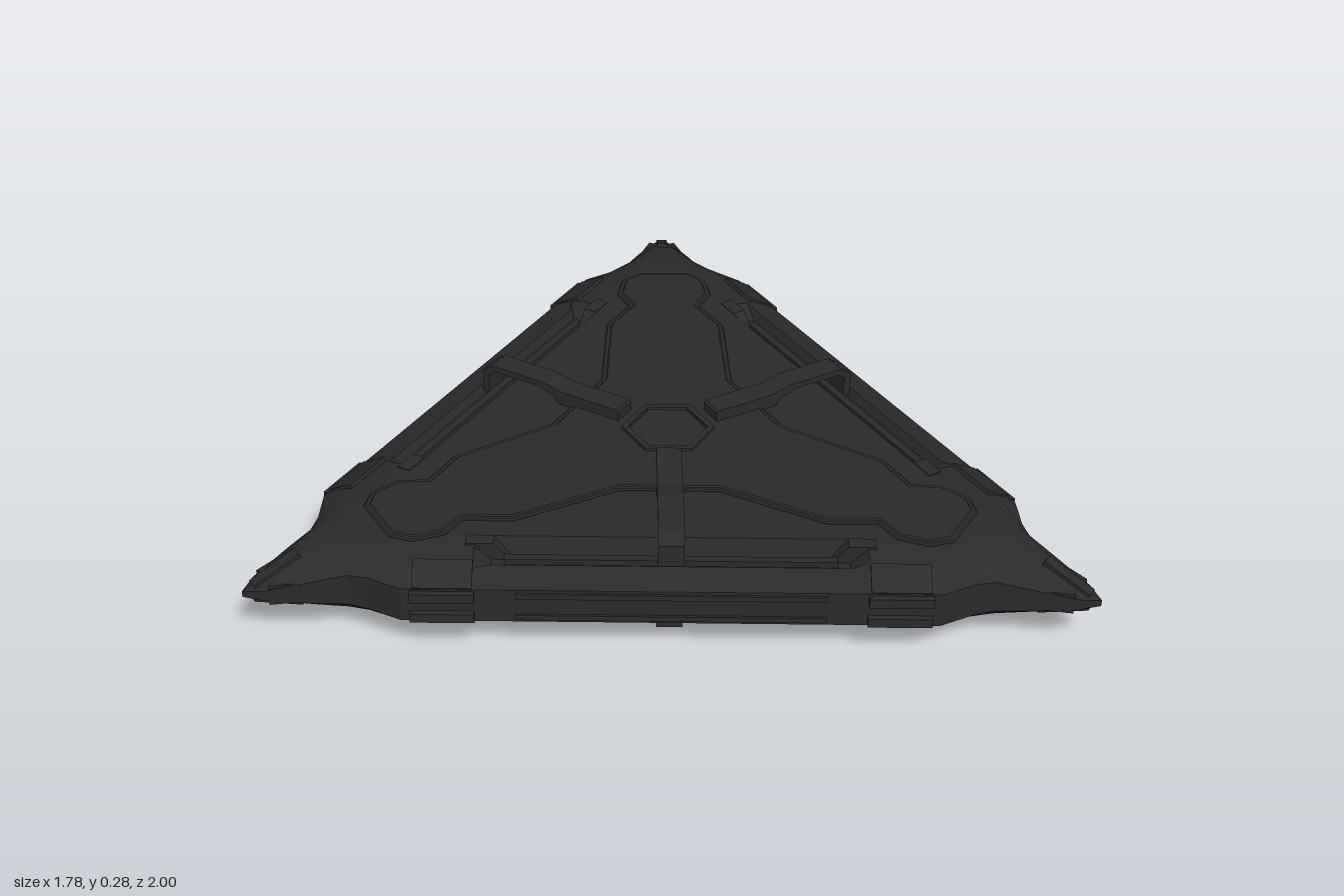
import * as THREE from 'three';

const MID = 0.139;            // height of the horizontal mirror plane
const CX = 0.262;             // x of the three-fold axis
const APO = 0.61;             // axis to each straight edge
const C = 0.5, S = Math.sqrt(3) / 2;
const mat = new THREE.MeshStandardMaterial({ color: 0x2b2b2b, flatShading: true });

// edge coords (u outward, v along the edge) <-> tip coords (r outward, w sideways)
const toTip = (u, v) => [u * C + v * S, u * S - v * C];
const fromTip = (r, w, y) => [r * C + w * S, r * S - w * C, y];

// mirror a half sector [u, v, y] (edge middle to tip) and repeat it three times
function ring(half) {
  const pts = half.map(([u, v, y = 0]) => [...toTip(u, v), y]);
  const mirrored = pts.slice(1).filter(p => p[1] > 1e-4).reverse().map(([r, w, y]) => [r, -w, y]);
  const all = [...pts, ...mirrored], out = [];
  for (let k = 0; k < 3; k++) {
    const a = Math.PI - k * Math.PI * 2 / 3, c = Math.cos(a), s = Math.sin(a);
    for (const [r, w, y] of all) out.push([r * c - w * s, y, r * s + w * c]);
  }
  return out;
}

function add(parent, geo, name, x = 0, y = 0, z = 0) {
  const m = new THREE.Mesh(geo, mat);
  m.name = name;
  m.position.set(x, y, z);
  parent.add(m);
  return m;
}
const box = (parent, name, size, pos) => add(parent, new THREE.BoxGeometry(...size), name, ...pos);

// hull cross-sections, each running from the outer edge up to the deck
function hullGeometry() {
  const recess = v => [[APO, v, 0.045], [0.54, v, 0.066], [0.528, v, 0.045], [0.472, v, 0.045], [0.455, v, 0.088]];
  const solid = v => [[APO, v, 0.045], [0.56, v, 0.072], [0.53, v, 0.079], [0.5, v, 0.084], [0.465, v, 0.088]];
  const stations = [
    recess(0), recess(0.42), solid(0.46),
    [[APO, 0.625, 0.045], [0.565, 0.615, 0.068], [0.54, 0.605, 0.077], [0.51, 0.59, 0.083], [0.475, 0.57, 0.088]],
    [fromTip(0.895, 0.14, 0.045), fromTip(0.885, 0.125, 0.062), fromTip(0.87, 0.11, 0.075),
      fromTip(0.85, 0.1, 0.083), fromTip(0.82, 0.09, 0.088)],
    [fromTip(0.93, 0.105, 0.042), fromTip(0.925, 0.09, 0.06), fromTip(0.91, 0.075, 0.074),
      fromTip(0.87, 0.07, 0.083), fromTip(0.825, 0.07, 0.088)],
    [fromTip(1.0, 0.078, 0.032), fromTip(0.99, 0.06, 0.05), fromTip(0.96, 0.05, 0.068),
      fromTip(0.89, 0.05, 0.083), fromTip(0.83, 0.05, 0.088)],
    [fromTip(1.11, 0.033, 0.014), fromTip(1.07, 0.025, 0.034), fromTip(1.02, 0.025, 0.058),
      fromTip(0.9, 0.03, 0.083), fromTip(0.835, 0.03, 0.088)],
    [fromTip(1.152, 0, 0.008), fromTip(1.09, 0, 0.034), fromTip(1.03, 0, 0.06),
      fromTip(0.9, 0, 0.084), fromTip(0.84, 0, 0.088)],
  ];
  const upper = [0, 1, 2, 3, 4].map(i => ring(stations.map(s => s[i])));
  const lower = upper.map(r => r.map(([x, y, z]) => [x, -y, z])).reverse();
  const rings = [...lower, ...upper], n = rings[0].length, pos = [];
  const tri = (...p) => p.forEach(q => pos.push(...q));
  for (let j = 0; j < n; j++) {
    const k = (j + 1) % n;
    for (let i = 0; i < rings.length - 1; i++) {
      const a = rings[i], b = rings[i + 1];
      tri(a[j], a[k], b[k]);
      tri(a[j], b[k], b[j]);
    }
    tri(upper[4][j], upper[4][k], [0, 0.088, 0]);
    tri(lower[0][k], lower[0][j], [0, -0.088, 0]);
  }
  const g = new THREE.BufferGeometry();
  g.setAttribute('position', new THREE.Float32BufferAttribute(pos, 3));
  g.computeVertexNormals();
  return g;
}

// three-armed deck panel, drawn inward by `inset`
function panelGeometry(inset, depth) {
  const outline = ring([[0.265, 0], [0.265, 0.12], [0.395, 0.37], [0.395, 0.49],
    [0.455, 0.53], fromTip(0.765, 0.115), fromTip(0.805, 0.07)]);
  const shape = new THREE.Shape(outline.map(([x, , z]) => new THREE.Vector2(x, -z)));
  return new THREE.ExtrudeGeometry(shape, {
    depth, bevelEnabled: true, bevelThickness: 0.003, bevelSize: 0.004, bevelOffset: -inset, bevelSegments: 1,
  }).rotateX(-Math.PI / 2);
}

// raised strap: a bent bar that arches over the deck and clamps the edge rail
function strapGeometry() {
  const profile = [[0.125, 0.085], [0.125, 0.12], [0.13, 0.125], [0.29, 0.125], [0.35, 0.138], [0.5, 0.138],
    [0.532, 0.118], [0.532, 0.055], [0.512, 0.055], [0.512, 0.108], [0.49, 0.122], [0.365, 0.122],
    [0.32, 0.108], [0.3, 0.085]];
  const shape = new THREE.Shape(profile.map(p => new THREE.Vector2(...p)));
  return new THREE.ExtrudeGeometry(shape, { depth: 0.062, bevelEnabled: false }).translate(0, 0, -0.031);
}

// sloped block closing the end of an edge recess
function recessEndGeometry(side) {
  const shape = new THREE.Shape([[0.37, 0.04], [0.48, 0.04], [0.48, 0.09], [0.415, 0.09]]
    .map(([v, y]) => new THREE.Vector2(v * side, y)));
  return new THREE.ExtrudeGeometry(shape, { depth: 0.035, bevelEnabled: false })
    .rotateY(Math.PI / 2).scale(1, 1, -1 * -1).translate(0.455, 0, 0);
}

// deck fittings for one face
function buildFace() {
  const face = new THREE.Group();
  add(face, panelGeometry(0.004, 0.004), 'deckPanel', 0, 0.0855, 0);
  add(face, panelGeometry(0.016, 0.004), 'deckPanelInlay', 0, 0.0885, 0);

  // central hexagon: rim with a sunken plate
  const hex = r => Array.from({ length: 6 }, (_, i) =>
    new THREE.Vector2(r * Math.cos((i + 0.5) * Math.PI / 3), r * Math.sin((i + 0.5) * Math.PI / 3)));
  const rim = new THREE.Shape(hex(0.116));
  rim.holes.push(new THREE.Path(hex(0.1).reverse()));
  add(face, new THREE.ExtrudeGeometry(rim, { depth: 0.018, bevelEnabled: false }).rotateX(-Math.PI / 2),
    'hubRim', 0, 0.086, 0);
  add(face, new THREE.CylinderGeometry(0.096, 0.1, 0.012, 6), 'hubPlate', 0, 0.093, 0);

  for (let k = 0; k < 3; k++) {
    const arm = new THREE.Group();
    arm.name = 'edgeFittings';
    arm.rotation.y = k * Math.PI * 2 / 3;
    face.add(arm);
    add(arm, strapGeometry(), 'strap');
    box(arm, 'recessRail', [0.02, 0.02, 0.78], [0.5, 0.05, 0]);
    for (const s of [-1, 1]) {
      add(arm, recessEndGeometry(s), 'recessEndBlock');
      box(arm, 'edgeRib', [0.045, 0.024, 0.15], [0.603, 0.028, s * 0.53]);
      const clamp = box(arm, 'shoulderClamp', [0.075, 0.014, 0.14], [0.575, 0.061, s * 0.53]);
      clamp.rotation.z = -0.5;
    }
    // tip fin on the ridge of each corner
    const tip = new THREE.Group();
    tip.name = 'tipFittings';
    tip.rotation.y = Math.PI / 3;
    arm.add(tip);
    const fin = box(tip, 'tipFin', [0.13, 0.016, 0.028], [1.065, 0.041, 0]);
    fin.rotation.z = -0.42;
    for (const s of [-1, 1]) {
      const prong = box(tip, 'tipProng', [0.1, 0.018, 0.018], [1.05, 0.018, s * 0.045]);
      prong.rotation.y = s * 0.36;
    }
  }
  return face;
}

export function createModel() {
  const model = new THREE.Group();
  model.name = 'triangularPlatform';
  const body = new THREE.Group();
  body.name = 'body';
  body.position.set(CX, MID, 0);
  model.add(body);

  add(body, hullGeometry(), 'hull');

  const top = buildFace();
  top.name = 'topFace';
  const bottom = buildFace();
  bottom.name = 'bottomFace';
  bottom.rotation.x = Math.PI;
  body.add(top, bottom);

  // long strips along the three straight edges
  for (let k = 0; k < 3; k++) {
    const side = new THREE.Group();
    side.name = 'edgeTrim';
    side.rotation.y = k * Math.PI * 2 / 3;
    body.add(side);
    for (const y of [-0.03, 0.03]) box(side, 'edgeStrip', [0.012, 0.014, 0.72], [APO, y, 0]);
  }
  return model;
}
